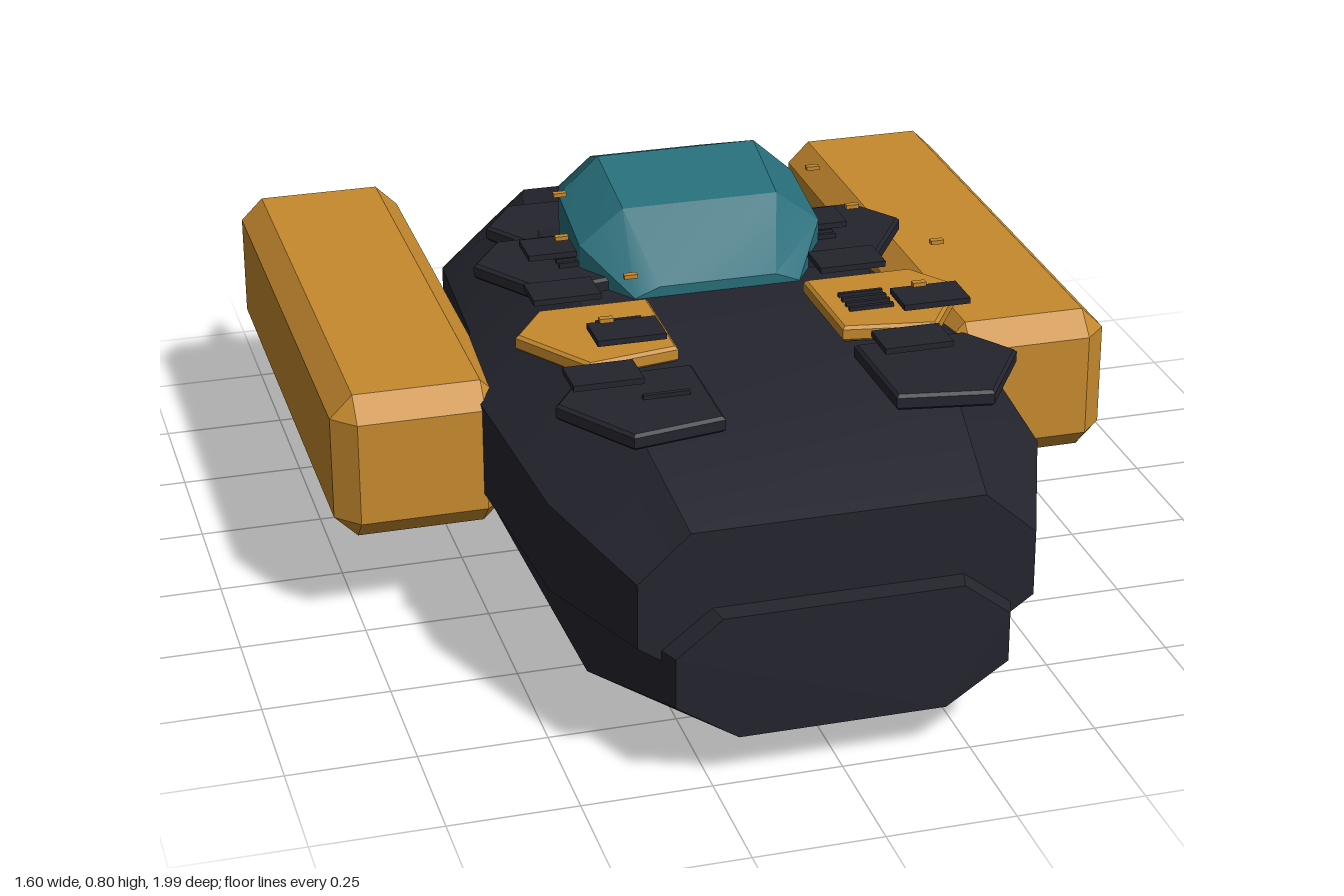
import * as THREE from 'three';
import { toCreasedNormals } from 'three/addons/utils/BufferGeometryUtils.js';
import { ConvexGeometry } from 'three/addons/geometries/ConvexGeometry.js';

const mat = (name, color) => {
  const m = new THREE.MeshStandardMaterial({ color });
  m.name = name;
  return m;
};

// Loft through eight-sided sections:
// [z, half width, top y, top flat, side top y, side bottom y, bottom flat, bottom y]
function loft(sections) {
  const pos = [];
  const rings = sections.map(([z, w, yT, t, sT, sB, b, yB]) => [
    [b, yB, z], [w, sB, z], [w, sT, z], [t, yT, z],
    [-t, yT, z], [-w, sT, z], [-w, sB, z], [-b, yB, z],
  ]);
  const tri = (a, b, c) => pos.push(...a, ...b, ...c);
  for (let i = 0; i < rings.length - 1; i++) {
    for (let j = 0; j < 8; j++) {
      const k = (j + 1) % 8, p = rings[i], q = rings[i + 1];
      tri(p[j], q[j], p[k]);
      tri(p[k], q[j], q[k]);
    }
  }
  const front = rings[0], back = rings[rings.length - 1];
  for (let j = 1; j < 7; j++) {
    tri(front[0], front[j], front[j + 1]);
    tri(back[0], back[j + 1], back[j]);
  }
  const g = new THREE.BufferGeometry();
  g.setAttribute('position', new THREE.Float32BufferAttribute(pos, 3));
  g.computeVertexNormals();
  return toCreasedNormals(g, 0.4);
}

// Box with all edges chamfered by c
function chamferBox(w, h, d, c) {
  const pts = [];
  for (const sx of [-1, 1]) for (const sy of [-1, 1]) for (const sz of [-1, 1]) {
    for (let k = 0; k < 3; k++) {
      const half = [w / 2, h / 2, d / 2].map((v, i) => (i === k ? v : v - c));
      pts.push(new THREE.Vector3(sx * half[0], sy * half[1], sz * half[2]));
    }
  }
  return new ConvexGeometry(pts);
}

// Five-sided armour plate lying flat, with a small bevel
function plateGeometry(side) {
  const outline = [[0.166, 0.231], [0.17, 0.46], [0.342, 0.489], [0.443, 0.33], [0.378, 0.231]];
  const shape = new THREE.Shape(outline.map(([x, z]) => new THREE.Vector2(side * x, -z)));
  const g = new THREE.ExtrudeGeometry(shape, {
    depth: 0.02, bevelEnabled: true, bevelSize: 0.006, bevelThickness: 0.006, bevelSegments: 1,
  });
  return g.rotateX(-Math.PI / 2);
}

// Forked tail fin whose two prongs narrow to points
function forkGeometry() {
  const outline = [[0, 0.34], [0.13, 0.334], [0.045, 0.365], [0.045, 0.405], [0.13, 0.436], [0, 0.43]];
  const g = new THREE.ExtrudeGeometry(
    new THREE.Shape(outline.map((p) => new THREE.Vector2(...p))), { depth: 1, bevelEnabled: false });
  const p = g.attributes.position;
  for (let i = 0; i < p.count; i++) {
    const u = p.getX(i), t = u / 0.13, s = p.getZ(i) - 0.5;
    p.setXYZ(i, -0.68 + 0.025 * t + s * 0.08 * (1.02 - t), p.getY(i), -0.86 - u);
  }
  g.computeVertexNormals();
  return g;
}

export function createModel() {
  const dark = mat('dark hull', 0x24242e);
  const orange = mat('orange', 0xc68a2e);
  const teal = mat('teal', 0x276e7a);
  const model = new THREE.Group();
  model.name = 'shuttle';
  const add = (name, geo, material, x = 0, y = 0, z = 0) => {
    const m = new THREE.Mesh(geo, material);
    m.name = name;
    m.position.set(x, y, z);
    model.add(m);
    return m;
  };

  // Main body, keel and canopy
  add('upperHull', loft([
    [0.96, 0.38, 0.51, 0.28, 0.42, 0.29, 0.28, 0.22],
    [0.70, 0.48, 0.60, 0.31, 0.47, 0.29, 0.35, 0.19],
    [0.25, 0.51, 0.62, 0.28, 0.48, 0.29, 0.38, 0.16],
    [-0.10, 0.45, 0.615, 0.26, 0.47, 0.29, 0.36, 0.16],
    [-0.50, 0.42, 0.55, 0.24, 0.44, 0.28, 0.32, 0.19],
    [-0.84, 0.23, 0.46, 0.16, 0.40, 0.30, 0.17, 0.24],
  ]), dark);
  add('lowerHull', loft([
    [1.00, 0.32, 0.35, 0.23, 0.28, 0.18, 0.20, 0.10],
    [0.74, 0.42, 0.37, 0.30, 0.28, 0.13, 0.24, 0.035],
    [-0.05, 0.43, 0.36, 0.30, 0.25, 0.11, 0.27, 0.005],
    [-0.45, 0.36, 0.34, 0.26, 0.26, 0.15, 0.22, 0.08],
    [-0.80, 0.20, 0.32, 0.15, 0.27, 0.20, 0.13, 0.165],
  ]), dark);
  add('canopy', loft([
    [0.17, 0.17, 0.64, 0.12, 0.62, 0.59, 0.13, 0.56],
    [0.04, 0.25, 0.76, 0.16, 0.69, 0.61, 0.20, 0.56],
    [-0.14, 0.248, 0.805, 0.165, 0.73, 0.61, 0.20, 0.55],
    [-0.38, 0.19, 0.71, 0.12, 0.65, 0.56, 0.15, 0.52],
    [-0.565, 0.065, 0.585, 0.04, 0.56, 0.53, 0.05, 0.50],
  ]), teal);

  // Side pods
  const pod = chamferBox(0.345, 0.305, 1.14, 0.046);
  for (const s of [-1, 1]) add(s > 0 ? 'leftPod' : 'rightPod', pod, orange, s * 0.6275, 0.3625, -0.29);

  // Tail details on the pods
  add('rightTailFork', forkGeometry(), teal);
  add('leftTailNub', new THREE.CapsuleGeometry(0.021, 0.05, 3, 8), teal, 0.67, 0.385, -0.86).scale.z = 2.1;

  // Armour plates, front to back: [z shift, inward shift, y, material]
  const rows = [[0.32, 0, 0.619, dark], [0, 0, 0.619, orange], [-0.365, 0, 0.617, dark], [-0.70, 0.10, 0.553, dark]];
  for (const s of [-1, 1]) {
    const geo = plateGeometry(s);
    for (const [dz, dx, y, m] of rows) add('armourPlate', geo, m, -s * dx, y, dz);
  }

  // Vent slats on the plates
  const slat = new THREE.BoxGeometry(0.09, 0.01, 0.009);
  for (const s of [-1, 1]) for (const z0 of [0.325, -0.04]) {
    for (let i = 0; i < 4; i++) add('ventSlat', slat, dark, s * 0.245, 0.648, z0 + i * 0.023);
  }
  add('ventSlat', slat, dark, -0.245, 0.648, 0.67);

  // Thin hatches, each with a small floating marker: [hatch x, z, marker x, z]
  const hatch = new THREE.BoxGeometry(0.135, 0.012, 0.087);
  const marker = new THREE.BoxGeometry(0.026, 0.008, 0.013);
  for (const [x, z, mx, mz] of [
    [-0.343, 0.587, -0.345, 0.62], [0.262, 0.587, 0.26, 0.62],
    [-0.25, 0.405, -0.25, 0.437], [0.362, 0.405, 0.36, 0.437],
    [-0.322, 0.188, -0.33, 0.22], [0.262, 0.188, 0.26, 0.22],
    [-0.28, -0.03, -0.28, 0.003], [0.252, -0.03, 0.247, 0.003],
  ]) {
    add('hatch', hatch, dark, x, 0.662, z);
    add('marker', marker, orange, mx, 0.79, mz);
  }
  return model;
}
